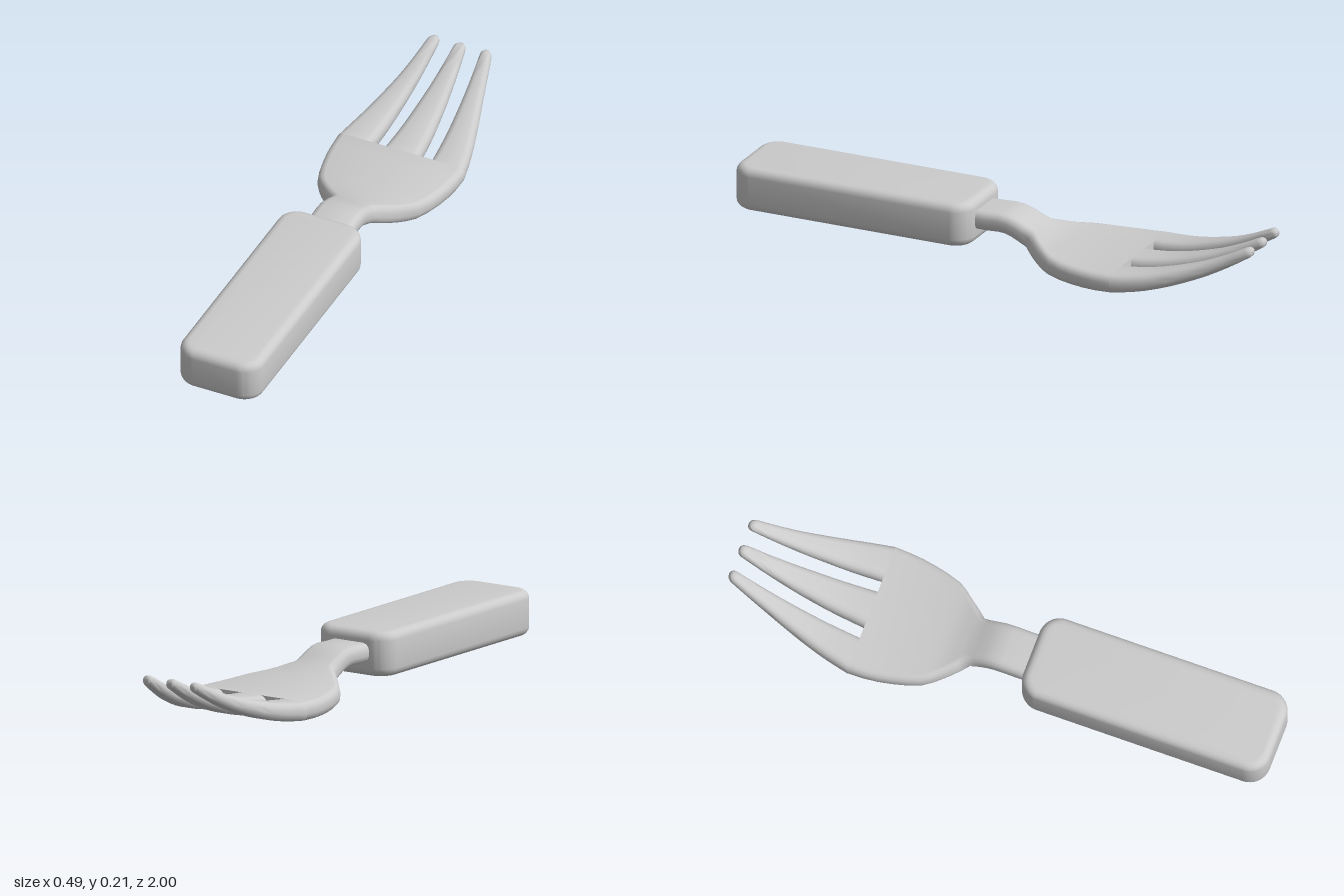
import * as THREE from 'three';
import { toCreasedNormals } from 'three/addons/utils/BufferGeometryUtils.js';

const material = new THREE.MeshStandardMaterial({ color: 0xcccccc });

// Smooth curve through [z, value] stations, listed from +z to -z
function curve(points) {
  const slope = i => {
    const a = points[Math.max(i - 1, 0)], b = points[Math.min(i + 1, points.length - 1)];
    return (b[1] - a[1]) / (b[0] - a[0]);
  };
  return z => {
    let i = 0;
    while (i < points.length - 2 && z < points[i + 1][0]) i++;
    const [z0, v0] = points[i], [z1, v1] = points[i + 1];
    const h = z1 - z0, t = THREE.MathUtils.clamp((z - z0) / h, 0, 1);
    const t2 = t * t, t3 = t2 * t;
    return (2 * t3 - 3 * t2 + 1) * v0 + (t3 - 2 * t2 + t) * h * slope(i)
      + (3 * t2 - 2 * t3) * v1 + (t3 - t2) * h * slope(i + 1);
  };
}

// Side profile of the metal, its thickness, and the plan outline
const height = curve([[0.12, 0.12], [0.05, 0.12], [-0.03, 0.12], [-0.12, 0.083], [-0.2, 0.054], [-0.3, 0.04],
  [-0.42, 0.036], [-0.52, 0.04], [-0.65, 0.06], [-0.8, 0.106], [-0.9, 0.15], [-1, 0.204]]);
const halfThick = curve([[0.12, 0.035], [-0.5, 0.034], [-0.7, 0.03], [-1, 0.017]]);
const bodyWidth = curve([[0.12, 0.085], [0, 0.085], [-0.12, 0.088], [-0.14, 0.108], [-0.19, 0.153],
  [-0.25, 0.198], [-0.35, 0.228], [-0.43, 0.241], [-0.51, 0.245]]);
const outerEdge = curve([[-0.51, 0.245], [-0.6, 0.226], [-0.7, 0.2], [-0.85, 0.157], [-1, 0.118]]);
const innerEdge = curve([[-0.51, 0.114], [-0.75, 0.097], [-1, 0.079]]);
const middleWidth = curve([[-0.51, 0.068], [-0.7, 0.053], [-0.85, 0.037], [-1, 0.02]]);

// Loft of rounded-rectangle sections standing square to the side profile
function loft(stations, centreAt, widthAt) {
  const pos = [], index = [], n = 16;
  for (const { z, s } of stations) {
    const w = widthAt(z) * s, t = halfThick(z) * s, r = Math.min(0.026, w * 0.85, t * 0.85);
    const slope = (height(z + 0.005) - height(z - 0.005)) / 0.01, len = Math.hypot(1, slope);
    for (let j = 0; j < n; j++) {
      const corner = Math.floor(j / 4), a = (corner + (j % 4) / 3) * Math.PI / 2;
      const sx = corner === 0 || corner === 3 ? 1 : -1, sy = corner < 2 ? 1 : -1;
      const x = sx * (w - r) + r * Math.cos(a), v = sy * (t - r) + r * Math.sin(a);
      pos.push(centreAt(z) + x, height(z) + v / len, z - v * slope / len);
    }
  }
  const last = (stations.length - 1) * n;
  for (let i = 0; i < last; i += n) {
    for (let j = 0; j < n; j++) {
      const k = (j + 1) % n;
      index.push(i + j, i + n + j, i + k, i + k, i + n + j, i + n + k);
    }
  }
  for (let j = 1; j < n - 1; j++) index.push(0, j, j + 1, last, last + j + 1, last + j);
  const g = new THREE.BufferGeometry();
  g.setAttribute('position', new THREE.Float32BufferAttribute(pos, 3));
  g.setIndex(index);
  return toCreasedNormals(g, 0.9);
}

function add(parent, name, geometry) {
  const mesh = new THREE.Mesh(geometry, material);
  mesh.name = name;
  parent.add(mesh);
  return mesh;
}

export function createModel() {
  const group = new THREE.Group();
  group.name = 'fork';

  // Handle: rounded plan, bevelled top and bottom
  const bevel = 0.03, w = 0.157 - bevel, l = 0.4575 - bevel, r = 0.045;
  const plan = new THREE.Shape();
  plan.absarc(w - r, l - r, r, 0, Math.PI / 2);
  plan.absarc(r - w, l - r, r, Math.PI / 2, Math.PI);
  plan.absarc(r - w, r - l, r, Math.PI, Math.PI * 1.5);
  plan.absarc(w - r, r - l, r, Math.PI * 1.5, Math.PI * 2);
  const handle = new THREE.ExtrudeGeometry(plan, {
    depth: 0.16 - 2 * bevel, bevelThickness: bevel, bevelSize: bevel, bevelSegments: 4, curveSegments: 6,
  });
  handle.rotateX(-Math.PI / 2);
  handle.translate(0, 0.035 + bevel, 0.5425);
  add(group, 'handle', toCreasedNormals(handle, 0.7));

  // Neck and head in one piece, up to the roots of the tines
  const body = [0.12, 0.05, 0, -0.03, -0.06, -0.09, -0.12, -0.14, -0.165, -0.19, -0.22, -0.25,
    -0.3, -0.35, -0.4, -0.45, -0.51].map(z => ({ z, s: 1 }));
  add(group, 'neckAndHead', loft(body, () => 0, bodyWidth));

  // Three tines with rounded tips
  const tine = [];
  for (let i = 0; i <= 12; i++) tine.push({ z: -0.51 - 0.47 * i / 12, s: 1 });
  for (let i = 1; i <= 4; i++) {
    const a = i / 4 * 1.5;
    tine.push({ z: -0.98 - 0.02 * Math.sin(a), s: Math.cos(a) });
  }
  add(group, 'middleTine', loft(tine, () => 0, middleWidth));
  for (const [name, side] of [['leftTine', 1], ['rightTine', -1]]) {
    add(group, name, loft(tine,
      z => side * (outerEdge(z) + innerEdge(z)) / 2,
      z => (outerEdge(z) - innerEdge(z)) / 2));
  }
  return group;
}
